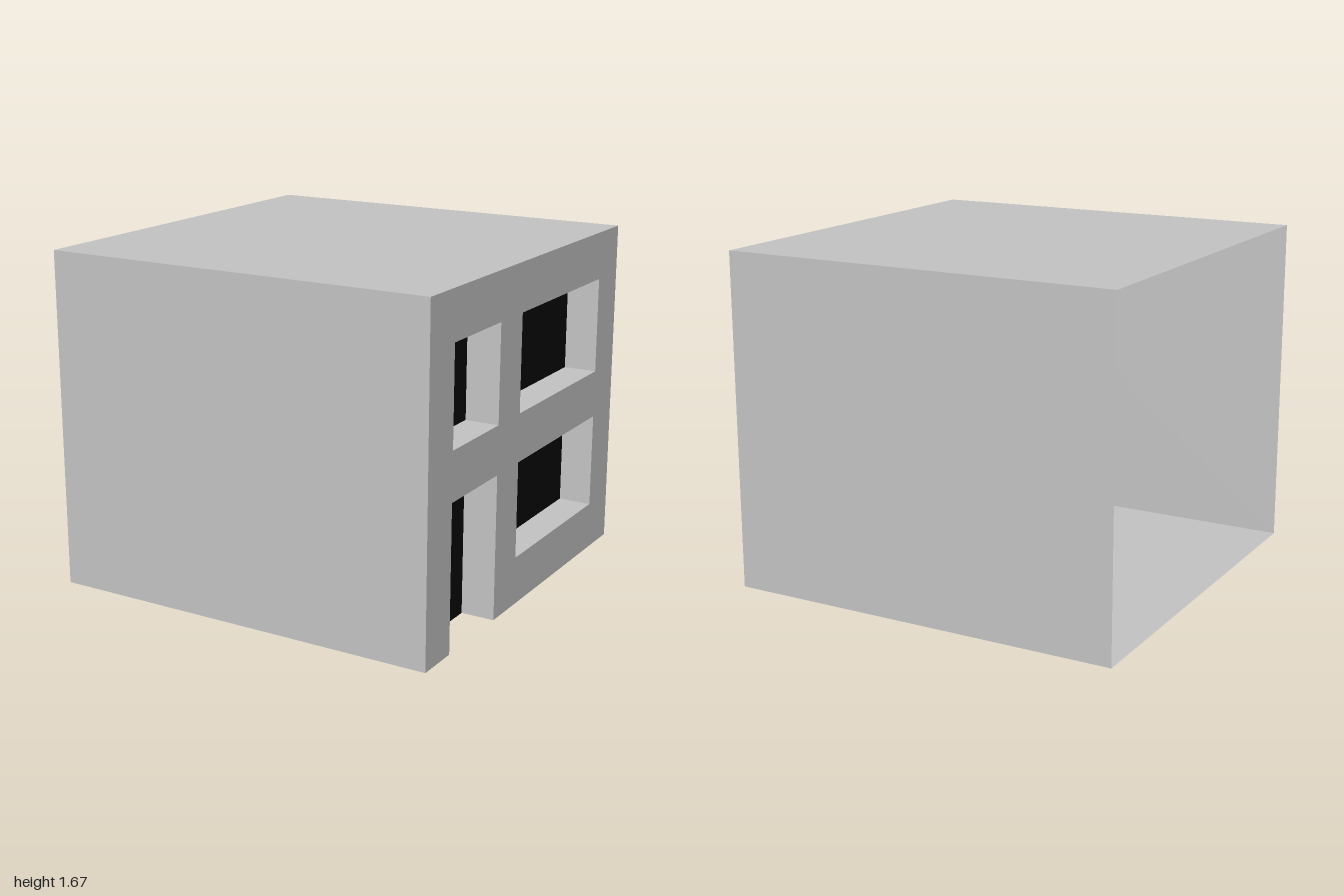
import * as THREE from 'three';

const H = 1.667;      // building height
const DEPTH = 0.167;  // how far openings are recessed

// Openings in the facade: z range, y range
const OPENINGS = [
  { name: 'door', z0: 0.335, z1: 0.778, y0: 0, y1: 0.714 },
  { name: 'upperSmallWindow', z0: 0.335, z1: 0.778, y0: 0.952, y1: 1.43 },
  { name: 'lowerWideWindow', z0: -0.778, z1: 0.113, y0: 0.238, y1: 0.714 },
  { name: 'upperWideWindow', z0: -0.778, z1: 0.113, y0: 0.952, y1: 1.43 },
];

const polygon = (pts) => pts.map(([x, y]) => new THREE.Vector2(x, y));

export function createModel() {
  const wallGrey = new THREE.MeshStandardMaterial({ color: 0xc0c0c0, side: THREE.DoubleSide });
  wallGrey.name = 'wallGrey';
  const openingBlack = new THREE.MeshStandardMaterial({ color: 0x080808, side: THREE.DoubleSide });
  openingBlack.name = 'openingBlack';

  const building = new THREE.Group();
  building.name = 'building';

  const add = (parent, name, geometry, material, x, y, z) => {
    const mesh = new THREE.Mesh(geometry, material);
    mesh.name = name;
    mesh.position.set(x, y, z);
    parent.add(mesh);
  };

  const [door, ...windows] = OPENINGS;

  // Facade on +x, drawn with shape x = -z, then turned; the door is a notch
  const facade = new THREE.Shape(polygon([
    [-1, 0], [-door.z1, 0], [-door.z1, door.y1], [-door.z0, door.y1],
    [-door.z0, 0], [1, 0], [1, H], [-1, H],
  ]));
  for (const w of windows) {
    facade.holes.push(new THREE.Path(polygon([
      [-w.z1, w.y0], [-w.z1, w.y1], [-w.z0, w.y1], [-w.z0, w.y0],
    ])));
  }
  add(building, 'facade', new THREE.ShapeGeometry(facade).rotateY(Math.PI / 2), wallGrey, 1, 0, 0);

  // Floor, cut back at the doorway
  const floor = new THREE.Shape(polygon([
    [-1, -1], [1, -1], [1, door.z0], [1 - DEPTH, door.z0],
    [1 - DEPTH, door.z1], [1, door.z1], [1, 1], [-1, 1],
  ]));
  add(building, 'floor', new THREE.ShapeGeometry(floor).rotateX(Math.PI / 2), wallGrey, 0, 0, 0);

  // Roof and the two side walls; the -x side stays open
  add(building, 'roof', new THREE.PlaneGeometry(2, 2).rotateX(-Math.PI / 2), wallGrey, 0, H, 0);
  add(building, 'frontWall', new THREE.PlaneGeometry(2, H), wallGrey, 0, H / 2, 1);
  add(building, 'backWall', new THREE.PlaneGeometry(2, H).rotateY(Math.PI), wallGrey, 0, H / 2, -1);

  // Recessed openings: dark panel with its reveals
  for (const o of OPENINGS) {
    const group = new THREE.Group();
    group.name = o.name;
    building.add(group);
    const w = o.z1 - o.z0, h = o.y1 - o.y0;
    const zc = (o.z0 + o.z1) / 2, yc = (o.y0 + o.y1) / 2, xc = 1 - DEPTH / 2;
    add(group, 'panel', new THREE.PlaneGeometry(w, h).rotateY(Math.PI / 2), openingBlack, 1 - DEPTH, yc, zc);
    add(group, 'backJamb', new THREE.PlaneGeometry(DEPTH, h), wallGrey, xc, yc, o.z0);
    add(group, 'frontJamb', new THREE.PlaneGeometry(DEPTH, h).rotateY(Math.PI), wallGrey, xc, yc, o.z1);
    add(group, 'lintel', new THREE.PlaneGeometry(DEPTH, w).rotateX(Math.PI / 2), wallGrey, xc, o.y1, zc);
    if (o !== door) {
      add(group, 'sill', new THREE.PlaneGeometry(DEPTH, w).rotateX(-Math.PI / 2), wallGrey, xc, o.y0, zc);
    }
  }
  return building;
}
